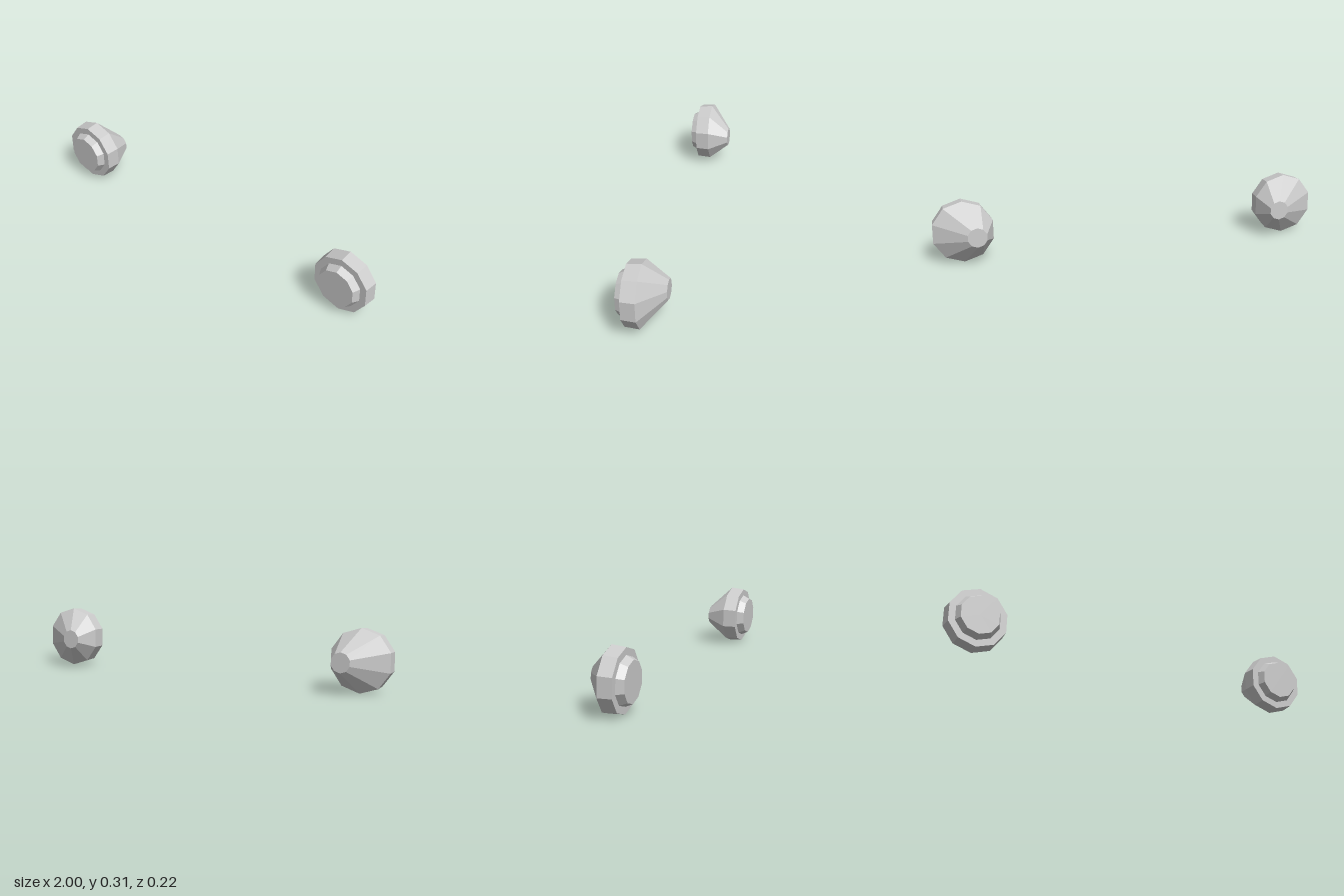
import * as THREE from 'three';

const SIDES = 10;
const material = new THREE.MeshStandardMaterial({ color: 0xcccccc, flatShading: true });

// Ten-sided surface of revolution about z; profile is [radius, z], back to front
function facetedPart(name, profile, moveVertex) {
  const points = profile.map(([r, z]) => new THREE.Vector2(r, z));
  const geometry = new THREE.LatheGeometry(points, SIDES).rotateX(Math.PI / 2);
  if (moveVertex) {
    const pos = geometry.attributes.position;
    const v = new THREE.Vector3();
    for (let i = 0; i < pos.count; i++) {
      moveVertex(v.fromBufferAttribute(pos, i));
      pos.setXYZ(i, v.x, v.y, v.z);
    }
  }
  const flat = geometry.toNonIndexed();
  flat.computeVertexNormals();
  const mesh = new THREE.Mesh(flat, material);
  mesh.name = name;
  return mesh;
}

// One lamp; side is +1 for the model's left, -1 for its right
function createLamp(side) {
  const lamp = new THREE.Group();
  lamp.name = side > 0 ? 'leftHeadlight' : 'rightHeadlight';

  // Tapered bowl whose small end leans towards the centre line
  lamp.add(facetedPart('housing', [[0, -0.1055], [0.05, -0.1055], [0.1575, 0]], (v) => {
    const t = -v.z / 0.1055;
    v.x -= side * 0.06 * t;
    v.y -= 0.0025 * t;
  }));

  // Band around the lamp with its flat front lip
  lamp.add(facetedPart('rim', [[0.1575, 0], [0.152, 0.07], [0.117, 0.07]]));

  // Raised lens with a bevelled edge
  lamp.add(facetedPart('lens', [[0.117, 0.07], [0.1, 0.106], [0, 0.106]]));

  // Slight downward aim
  lamp.rotation.x = 0.03;
  lamp.position.set(side * 0.85, 0.158, 0);
  return lamp;
}

export function createModel() {
  const model = new THREE.Group();
  model.name = 'headlights';
  for (const side of [1, -1]) model.add(createLamp(side));
  return model;
}
